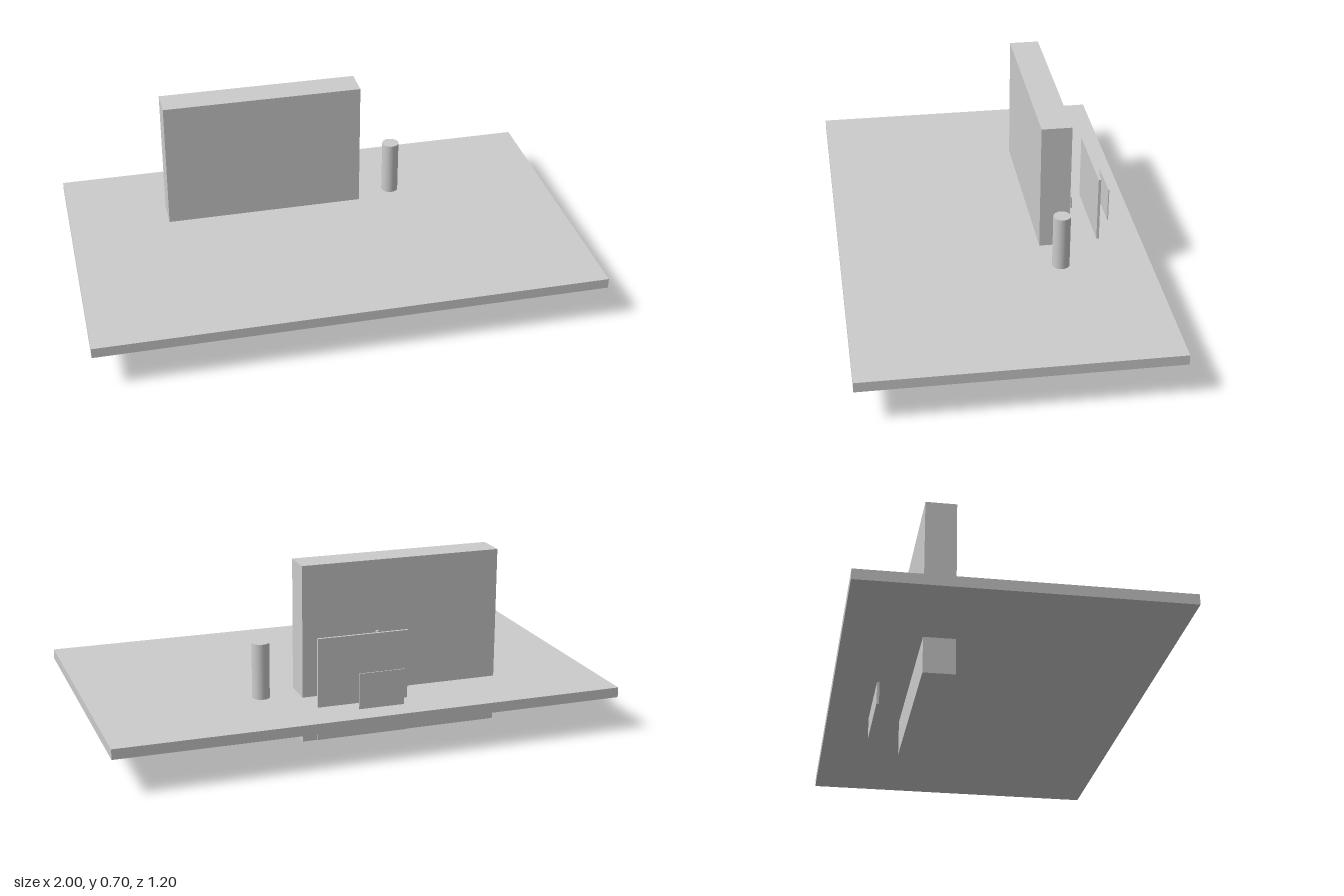
import * as THREE from 'three';

export function createModel() {
  const group = new THREE.Group();
  const material = new THREE.MeshStandardMaterial({ color: 0xcccccc });

  function add(name, geometry, x, y, z) {
    const mesh = new THREE.Mesh(geometry, material);
    mesh.name = name;
    mesh.position.set(x, y, z);
    group.add(mesh);
  }

  // Box given by its lower and upper limits on each axis
  function box(name, [x0, x1], [y0, y1], [z0, z1]) {
    add(name, new THREE.BoxGeometry(x1 - x0, y1 - y0, z1 - z0),
      (x0 + x1) / 2, (y0 + y1) / 2, (z0 + z1) / 2);
  }

  // Upright cylinder from y0 to y1
  function post(name, radius, x, z, [y0, y1]) {
    add(name, new THREE.CylinderGeometry(radius, radius, y1 - y0, 32), x, (y0 + y1) / 2, z);
  }

  // Slab and the thick upright block passing through it
  box('baseSlab', [-1, 1], [0.14, 0.18], [-0.6, 0.6]);
  box('uprightBlock', [-0.6, 0.2], [0, 0.7], [-0.31, -0.19]);

  // Free-standing cylinder beside the block
  post('cylinder', 0.034, 0.348, -0.25, [0.18, 0.4]);

  // Thin sheets behind the block
  box('rearPanel', [-0.18, 0.18], [0.05, 0.45], [-0.435, -0.425]);
  box('rearSheet', [-0.14, 0.04], [0.18, 0.32], [-0.502, -0.498]);

  // Slim rods and a small tag against the back of the block
  post('longRod', 0.007, -0.1, -0.318, [0.18, 0.42]);
  post('shortRod', 0.007, 0.05, -0.318, [0.265, 0.405]);
  box('smallTag', [0.07, 0.125], [0.298, 0.347], [-0.332, -0.327]);

  return group;
}
